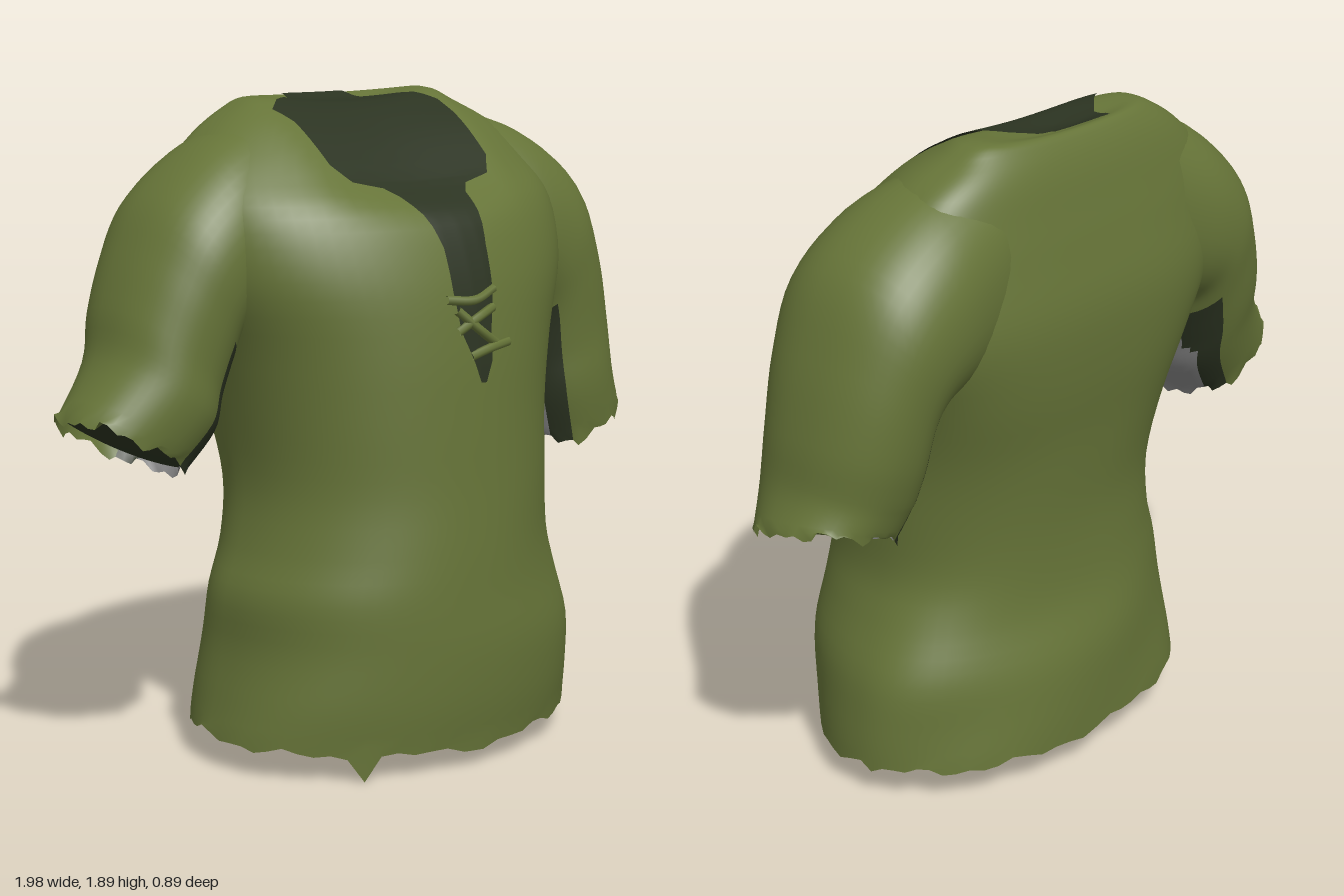
import * as THREE from 'three';

const olive = new THREE.MeshStandardMaterial({ color: 0x667438, side: THREE.DoubleSide });
olive.name = 'olive cloth';
const dark = new THREE.MeshStandardMaterial({ color: 0x2b3321, side: THREE.DoubleSide });
dark.name = 'dark lining';
const gray = new THREE.MeshStandardMaterial({ color: 0x868686, side: THREE.DoubleSide });
gray.name = 'gray underarm';

// Catmull-Rom sample of a table of rows, t in 0..1
function sample(rows, t) {
  const f = t * (rows.length - 1);
  const i = Math.min(Math.floor(f), rows.length - 2);
  const u = f - i;
  const at = (k) => rows[Math.max(0, Math.min(rows.length - 1, k))];
  return rows[i].map((b, k) => {
    const a = at(i - 1)[k], c = at(i + 1)[k], d = at(i + 2)[k];
    return b + 0.5 * u * (c - a + u * (2 * a - 5 * b + 4 * c - d + u * (3 * (b - c) + d - a)));
  });
}

// Skin rows of points; pick(ring, segment) gives a material index
function loft(rings, materials, pick, flip, closed = true) {
  const n = rings[0].length;
  const lists = materials.map(() => []);
  for (let i = 0; i < rings.length - 1; i++) {
    for (let j = 0; j < (closed ? n : n - 1); j++) {
      const k = (j + 1) % n;
      const a = i * n + j, b = i * n + k, c = b + n, d = a + n;
      lists[pick(i, j)].push(...(flip ? [a, b, d, d, b, c] : [a, d, b, d, c, b]));
    }
  }
  const g = new THREE.BufferGeometry().setFromPoints(rings.flat());
  g.setIndex(lists.flat());
  let start = 0;
  lists.forEach((l, m) => { g.addGroup(start, l.length, m); start += l.length; });
  g.computeVertexNormals();
  return new THREE.Mesh(g, materials);
}

// Dark fill inside an opening
function fill(ring, centre, name, flip) {
  const g = new THREE.BufferGeometry().setFromPoints([...ring, centre]);
  const n = ring.length, index = [];
  for (let j = 0; j < n; j++) {
    const k = (j + 1) % n;
    index.push(...(flip ? [k, j, n] : [j, k, n]));
  }
  g.setIndex(index);
  g.computeVertexNormals();
  const m = new THREE.Mesh(g, dark);
  m.name = name;
  return m;
}

const { smoothstep } = THREE.MathUtils;
const spow = (v, p) => Math.sign(v) * Math.abs(v) ** p;
const ragged = (j, s) => 0.5 * Math.sin(j * 1.9 + s) + 0.5 * Math.sin(j * 0.83 + s * 2.3);

// Torso rows: height, right side x, left side x, front z, back z
const TORSO = [
  [0.08, -0.57, 0.66, 0.42, -0.435], [0.2, -0.55, 0.65, 0.44, -0.43],
  [0.35, -0.525, 0.63, 0.45, -0.42], [0.5, -0.52, 0.57, 0.445, -0.39],
  [0.63, -0.48, 0.53, 0.44, -0.38], [0.8, -0.455, 0.53, 0.43, -0.38],
  [1.0, -0.48, 0.54, 0.42, -0.40], [1.2, -0.53, 0.585, 0.405, -0.43],
  [1.4, -0.61, 0.66, 0.37, -0.44], [1.57, -0.62, 0.66, 0.30, -0.41],
  [1.68, -0.58, 0.62, 0.19, -0.385], [1.78, -0.48, 0.54, 0.08, -0.36],
  [1.85, -0.37, 0.42, -0.015, -0.33], [1.89, -0.27, 0.33, -0.09, -0.295],
  [1.89, -0.1, 0.13, -0.15, -0.23], [1.885, 0.015, 0.015, -0.19, -0.19],
];

function makeTorso() {
  const N = 72, M = 60, rings = [];
  for (let i = 0; i <= M; i++) {
    const [y, xl, xr, zf, zb] = sample(TORSO, i / M);
    const zc = zb + (zf - zb) * 0.42;
    // rounded back at the hem, flatter across the shoulder blades
    const backP = 0.94 - 0.3 * smoothstep(y, 0.6, 1.35);
    const ring = [];
    for (let j = 0; j < N; j++) {
      const a = (j / N) * Math.PI * 2, c = Math.cos(a), s = Math.sin(a);
      const p = s < 0 ? backP : c < 0 ? 0.9 : 0.98;
      // soft slanting folds that fade towards the chest
      const fold = 1 + 0.014 * Math.sin(5 * a + y * 9) * Math.max(0, 1 - y / 1.1);
      const v = new THREE.Vector3(
        (xl + xr) / 2 + ((xr - xl) / 2) * spow(c, p) * fold,
        y,
        zc + (s < 0 ? zc - zb : zf - zc) * spow(s, p) * (s < 0 ? fold : 1));
      // hem rises to the sides and back, with torn teeth on its last row
      v.y += (0.02 * Math.abs(c) - 0.015 * s) * Math.max(0, 1 - i / 6);
      if (i === 0) v.y = j === 25 ? 0 : v.y - 0.008 + 0.016 * ragged(j, 1);
      // the neck dips between the collar edges
      const dip = 0.035 * smoothstep(y, 1.52, 1.7) * smoothstep(v.z, -0.36, -0.22) * Math.max(0, 1 - (v.x / 0.33) ** 2);
      v.y -= dip;
      v.z -= dip * 0.6;
      ring.push(v);
    }
    rings.push(ring);
  }
  const torso = loft(rings, [olive], () => 0, false);
  torso.name = 'torso';
  return [torso, fill(rings[1], new THREE.Vector3(0.04, 0.105, 0), 'hemOpening', false)];
}

// Sleeve rows: outer x, outer y, inner x, inner y, front z, back z
const LEFT = [
  [0.38, 1.83, 0.36, 1.25, 0.06, -0.39], [0.59, 1.765, 0.48, 1.22, 0.11, -0.415],
  [0.78, 1.625, 0.54, 1.2, 0.12, -0.415], [0.875, 1.41, 0.565, 1.16, 0.11, -0.395],
  [0.925, 1.2, 0.58, 1.05, 0.10, -0.37], [0.945, 1.05, 0.6, 0.94, 0.10, -0.335],
  [0.99, 0.95, 0.645, 0.82, 0.08, -0.31],
];
const RIGHT = [
  [-0.36, 1.83, -0.34, 1.25, 0.06, -0.39], [-0.54, 1.75, -0.44, 1.22, 0.11, -0.415],
  [-0.69, 1.625, -0.49, 1.2, 0.12, -0.415], [-0.775, 1.48, -0.51, 1.14, 0.11, -0.395],
  [-0.835, 1.33, -0.54, 1.05, 0.10, -0.37], [-0.875, 1.19, -0.57, 0.96, 0.10, -0.335],
  [-0.99, 1.04, -0.655, 0.855, 0.07, -0.29],
];

// tilt lifts the front of the cuff and lowers its back
function makeSleeve(rows, name, flip, tilt) {
  const N = 48, M = 30, rings = [];
  for (let i = 0; i <= M; i++) {
    const [ox, oy, ix, iy, zf, zb] = sample(rows, i / M);
    const ring = [];
    for (let j = 0; j < N; j++) {
      const a = (j / N) * Math.PI * 2, s = Math.sin(a);
      const u = (1 + spow(Math.cos(a), 0.92)) / 2;
      const torn = i === M ? 0.024 * ragged(j, flip ? 2 : 4) : 0;
      const lift = tilt * s * Math.max(0, 1 - (M - i) / 6);
      ring.push(new THREE.Vector3(
        ix + (ox - ix) * u + Math.sign(ox) * torn * 0.3,
        iy + (oy - iy) * u + torn + lift,
        (zf + zb) / 2 + ((zf - zb) / 2) * spow(s, 0.88)));
    }
    rings.push(ring);
  }
  // dark underarm face with a gray gusset that widens towards the cuff
  const pick = (i, j) => {
    const off = Math.abs(j + 0.5 - N / 2);
    if (i < 14 || off > 7.6) return 0;
    return off < Math.min(4.6, (i - 15) * 0.7) ? 2 : 1;
  };
  const sleeve = loft(rings, [olive, dark, gray], pick, flip);
  sleeve.name = name;
  const [ox, oy, ix, iy] = rows[rows.length - 1];
  const centre = new THREE.Vector3((ox + ix) / 2, (oy + iy) / 2 + 0.02, -0.11);
  return [sleeve, fill(rings[M - 1], centre, name + 'Opening', !flip)];
}

// Neck opening outline: position along the slanted chest, right x, left x
const NECK = [
  [0.485, 0.03, 0.05], [0.53, 0.01, 0.075], [0.6, -0.03, 0.08], [0.69, -0.045, 0.1],
  [0.8, -0.05, 0.105], [0.9, -0.08, 0.12], [0.98, -0.11, 0.13], [1.02, -0.14, 0.16],
  [1.05, -0.23, 0.26], [1.12, -0.27, 0.3], [1.3, -0.28, 0.3], [1.37, -0.31, 0.29],
  [1.42, -0.26, 0.24], [1.48, -0.14, 0.12], [1.54, -0.12, 0.1],
];

// Thin dark plate laid onto the torso
function makeNeck(torso) {
  const n = new THREE.Vector3(0, Math.SQRT1_2, Math.SQRT1_2);
  const ray = new THREE.Raycaster();
  const rows = [];
  const R = 70, C = 16;
  let last = new THREE.Vector3();
  torso.updateMatrixWorld();
  for (let i = 0; i <= R; i++) {
    const f = (i / R) * (NECK.length - 1), k = Math.min(Math.floor(f), NECK.length - 2);
    const [t, xl, xr] = NECK[k].map((v, q) => v + (NECK[k + 1][q] - v) * (f - k));
    const row = [];
    for (let j = 0; j <= C; j++) {
      const from = new THREE.Vector3(xl + ((xr - xl) * j) / C, t * Math.SQRT1_2, -t * Math.SQRT1_2);
      ray.set(from.addScaledVector(n, 4), n.clone().negate());
      const hit = ray.intersectObject(torso)[0];
      // near the back rim only points on the top face count
      if (hit && hit.point.y > 1) last = hit.point.clone().addScaledVector(n, 0.007);
      row.push(last.clone());
    }
    rows.push(row);
  }
  const neck = loft(rows, [dark], () => 0, true, false);
  neck.name = 'neckOpening';
  return neck;
}

// Lacing that pulls the slit together
function makeLaces() {
  const laces = new THREE.Group();
  laces.name = 'laces';
  const paths = [
    [[-0.07, 1.34, 0.385], [0.02, 1.335, 0.4], [0.1, 1.36, 0.385]],
    [[-0.04, 1.25, 0.4], [0.03, 1.29, 0.41], [0.09, 1.31, 0.395]],
    [[-0.04, 1.31, 0.395], [0.03, 1.25, 0.415], [0.09, 1.21, 0.41]],
    [[0.0, 1.18, 0.41], [0.06, 1.2, 0.42], [0.14, 1.21, 0.405]],
  ];
  for (const p of paths) {
    const curve = new THREE.CatmullRomCurve3(p.map((q) => new THREE.Vector3(...q)));
    const lace = new THREE.Mesh(new THREE.TubeGeometry(curve, 10, 0.013, 6), olive);
    lace.name = 'lace';
    laces.add(lace);
  }
  return laces;
}

export function createModel() {
  const model = new THREE.Group();
  model.name = 'tatteredShirt';
  const [torso, hem] = makeTorso();
  model.add(torso, hem, makeNeck(torso), makeLaces());
  model.add(...makeSleeve(LEFT, 'leftSleeve', true, -0.05), ...makeSleeve(RIGHT, 'rightSleeve', false, 0.015));
  return model;
}
